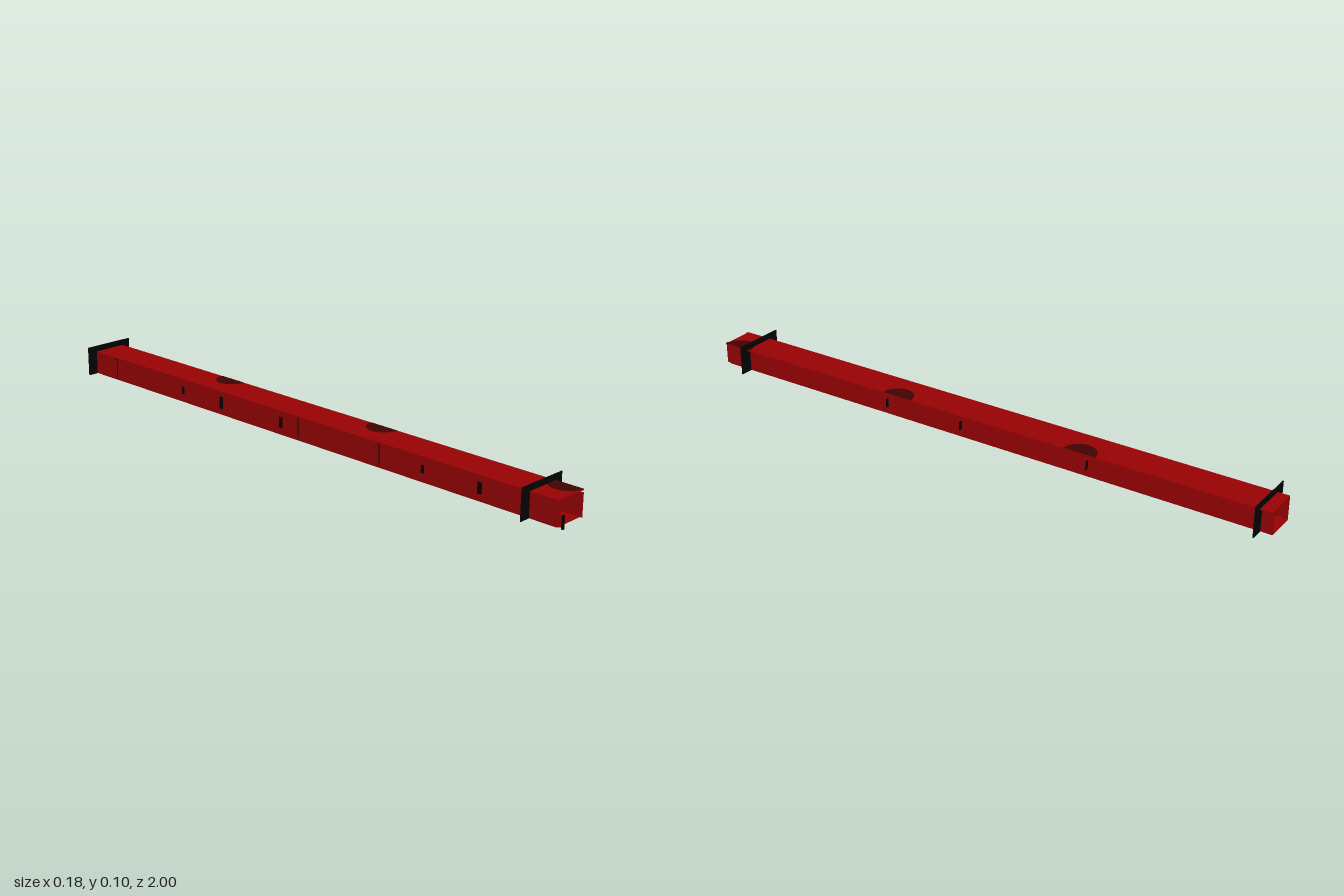
import * as THREE from 'three';

const mat = (name, color, side = THREE.FrontSide) => {
  const m = new THREE.MeshStandardMaterial({ color, side });
  m.name = name;
  return m;
};

export function createModel() {
  const red = mat('red panel', 0x9a0203);
  const black = mat('black plate', 0x030303);
  const stain = mat('dark red stain', 0x420303, THREE.DoubleSide);
  const under = mat('dark floor underside', 0x2e0203);
  const glow = mat('red floor patch', 0x960203, THREE.DoubleSide);
  const model = new THREE.Group();
  const T = 0.0032, GAP = 0.0024;
  const L = -0.0535, R = 0.0425, EDGE = 0.06, H = 0.078;

  const add = (name, geometry, material, parent = model) => {
    const mesh = new THREE.Mesh(geometry, material);
    mesh.name = name;
    parent.add(mesh);
    return mesh;
  };
  // Box given by its lower and upper corners
  const box = (name, a, b, material, parent) => {
    const g = new THREE.BoxGeometry(b[0] - a[0], b[1] - a[1], b[2] - a[2]);
    g.translate((a[0] + b[0]) / 2, (a[1] + b[1]) / 2, (a[2] + b[2]) / 2);
    return add(name, g, material, parent);
  };
  // Splits a run of panels at the seams, leaving a narrow gap
  const panels = (name, stops, make) => {
    const group = new THREE.Group();
    group.name = name;
    for (let i = 0; i < stops.length - 1; i++) {
      make(stops[i] + (i ? GAP / 2 : 0), stops[i + 1] - (i < stops.length - 2 ? GAP / 2 : 0), group);
    }
    model.add(group);
  };

  // Ceiling overhangs the recessed right wall; floor stops at that wall
  const deckStops = [-1, -0.34, 0.32, 0.98];
  panels('ceiling', deckStops, (a, b, g) =>
    box('ceilingPanel', [L, H - T, a], [EDGE, H, b], red, g));
  // Floor panels: red with a dark underside
  const floorFaces = [red, red, red, under, red, red];
  panels('floor', deckStops, (a, b, g) =>
    box('floorPanel', [L, 0.0006, a], [R + T, 0.0036, b], floorFaces, g));

  // Side walls
  const wallStops = [-1, -0.17, 0.49, 0.99];
  for (const [name, x] of [['leftEdgeWall', L], ['recessedWall', R]]) {
    panels(name, wallStops, (a, b, g) =>
      box('wallPanel', [x, 0.0036, a], [x + T, H - T, b], red, g));
  }

  // Solid bulkhead plates near both ends
  for (const [name, z] of [['frontBulkhead', 0.887], ['backBulkhead', -0.962]]) {
    box(name, [-0.088, 0, z - 0.0015], [0.088, 0.097, z + 0.0015], black);
  }

  // Half-round stains along the ceiling's overhanging edge
  for (const z of [-0.393, 0.267, 0.927]) {
    const s = new THREE.Shape();
    s.absellipse(0, 0, 0.056, 0.053, Math.PI / 2, Math.PI * 1.5);
    const m = add('ceilingStain', new THREE.ShapeGeometry(s, 16), stain);
    m.rotation.x = -Math.PI / 2;
    m.position.set(EDGE, H + 0.0006, z);
  }

  // Long oval patches under the floor
  for (const z of [0.79, 0.13, -0.53]) {
    const m = add('undersidePatch', new THREE.CircleGeometry(1, 32), glow);
    m.rotation.x = Math.PI / 2;
    m.scale.set(0.037, 0.17, 1);
    m.position.set(-0.005, 0, z);
  }

  // Single-faced fins beneath the overhang: z, height, width, facing front or back
  const fullWidth = EDGE - R - T;
  const fins = [[0.045, 0.04, fullWidth, 1], [-0.63, 0.025, fullWidth, 1], [-0.74, 0.04, fullWidth, 1],
    [0.67, 0.068, 0.003, 1], [-0.83, 0.068, 0.003, 1],
    [0.31, 0.03, fullWidth, -1], [0.03, 0.03, fullWidth, -1], [-0.415, 0.03, fullWidth, -1]];
  for (const [z, h, w, facing] of fins) {
    const m = add('wallFin', new THREE.PlaneGeometry(w, h), black);
    m.position.set(R + T + w / 2, 0.041, z);
    m.rotation.y = facing > 0 ? 0 : Math.PI;
  }

  // Small black covers and narrow joint lines on the opposite wall: z, height, width
  const covers = [[-0.51, 0.025, 0.012], [-0.325, 0.04, 0.016], [-0.055, 0.035, 0.014],
    [0.515, 0.025, 0.012], [0.72, 0.035, 0.016],
    [-0.85, 0.07, 0.003], [0.02, 0.07, 0.003], [0.35, 0.07, 0.003]];
  for (const [z, h, w] of covers) {
    box('wallCover', [L - 0.0005, 0.04 - h / 2, z - w / 2], [L, 0.04 + h / 2, z + w / 2], black);
  }

  // Low tab at the front corner
  box('frontTab', [L - 0.001, 0, 0.994], [L + 0.005, 0.04, 1], black);

  return model;
}
